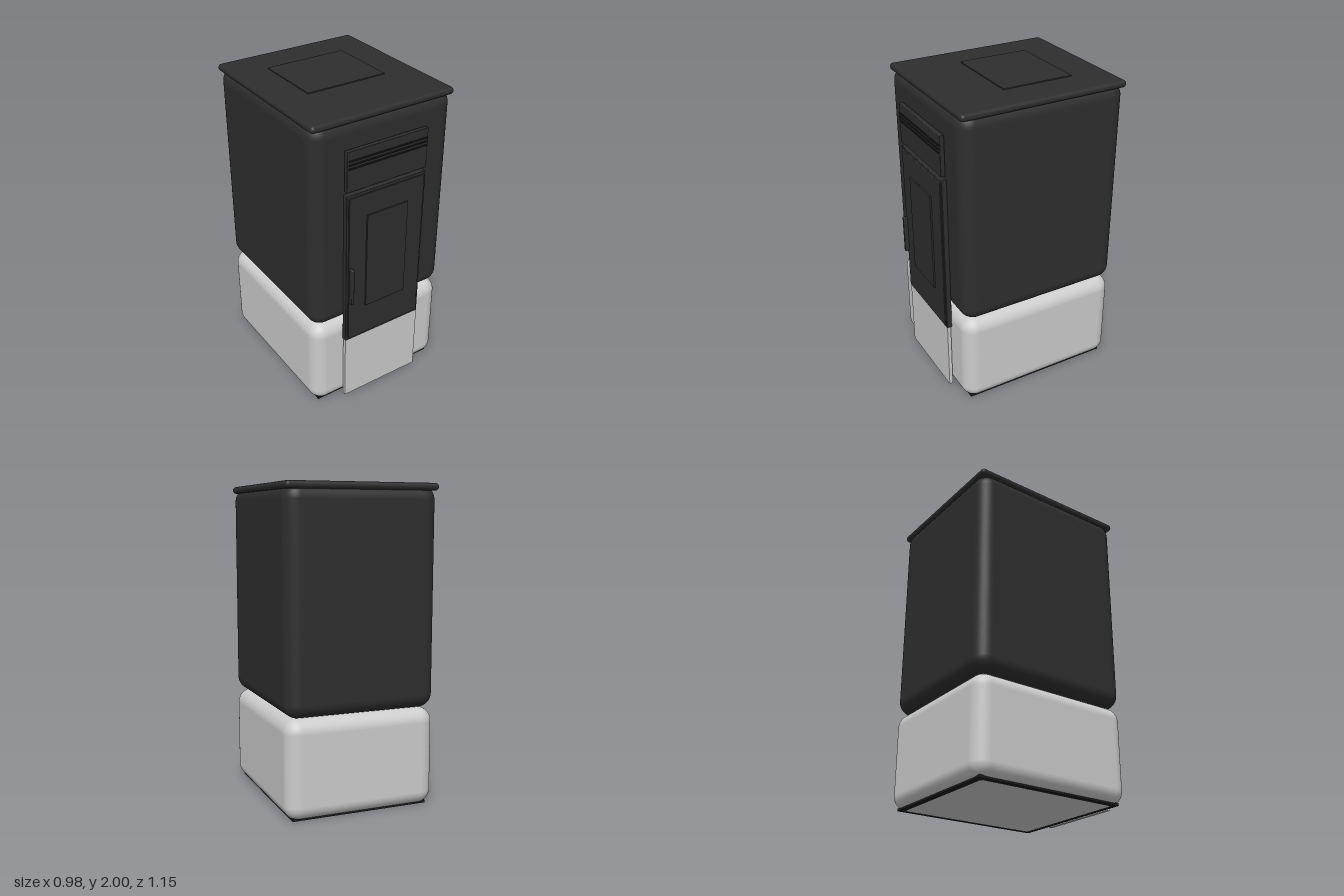
import * as THREE from 'three';
import { RoundedBoxGeometry } from 'three/addons/geometries/RoundedBoxGeometry.js';

function colour(name, hex) {
  const m = new THREE.MeshStandardMaterial({ color: hex });
  m.name = name;
  return m;
}

export function createModel() {
  const stove = new THREE.Group();
  stove.name = 'stove';
  const charcoal = colour('charcoal', 0x2e2e2e);
  const black = colour('black', 0x1c1c1c);
  const paleGrey = colour('paleGrey', 0xcccccc);

  // Box given by its limits on each axis, with an optional edge radius
  function block(name, material, [x0, x1], [y0, y1], [z0, z1], radius = 0) {
    const size = [x1 - x0, y1 - y0, z1 - z0];
    const geometry = radius
      ? new RoundedBoxGeometry(...size, 6, radius)
      : new THREE.BoxGeometry(...size);
    const mesh = new THREE.Mesh(geometry, material);
    mesh.name = name;
    mesh.position.set((x0 + x1) / 2, (y0 + y1) / 2, (z0 + z1) / 2);
    stove.add(mesh);
  }

  const width = [-0.488, 0.488];
  const depth = [-0.578, 0.508];

  // Casing
  block('footPlate', black, [-0.445, 0.445], [0.001, 0.018], [-0.535, 0.465]);
  block('base', paleGrey, width, [0, 0.62], depth, 0.09);
  block('body', charcoal, width, [0.62, 1.985], depth, 0.09);
  block('lid', charcoal, width, [1.949, 1.994], depth, 0.022);
  block('topPlate', charcoal, [-0.27, 0.267], [1.98, 2], [-0.333, 0.125]);

  // Front panels
  const front = [-0.284, 0.28];
  block('lowerPanel', paleGrey, front, [0.015, 0.478], [0.515, 0.538]);
  block('doorFrame', charcoal, front, [0.476, 1.527], [0.505, 0.54], 0.004);
  block('door', charcoal, [-0.27, 0.267], [0.492, 1.51], [0.53, 0.548], 0.004);
  block('doorWindow', charcoal, [-0.148, 0.145], [0.714, 1.368], [0.54, 0.558]);
  block('handle', charcoal, [-0.266, -0.246], [0.775, 1.03], [0.545, 0.577], 0.006);

  // Vent panel with three slats
  block('ventPanel', charcoal, front, [1.55, 1.807], [0.513, 0.542], 0.004);
  for (const y of [1.7, 1.724, 1.748]) {
    block('ventSlat', black, [-0.274, 0.27], [y - 0.004, y + 0.004], [0.54, 0.549]);
  }

  return stove;
}
